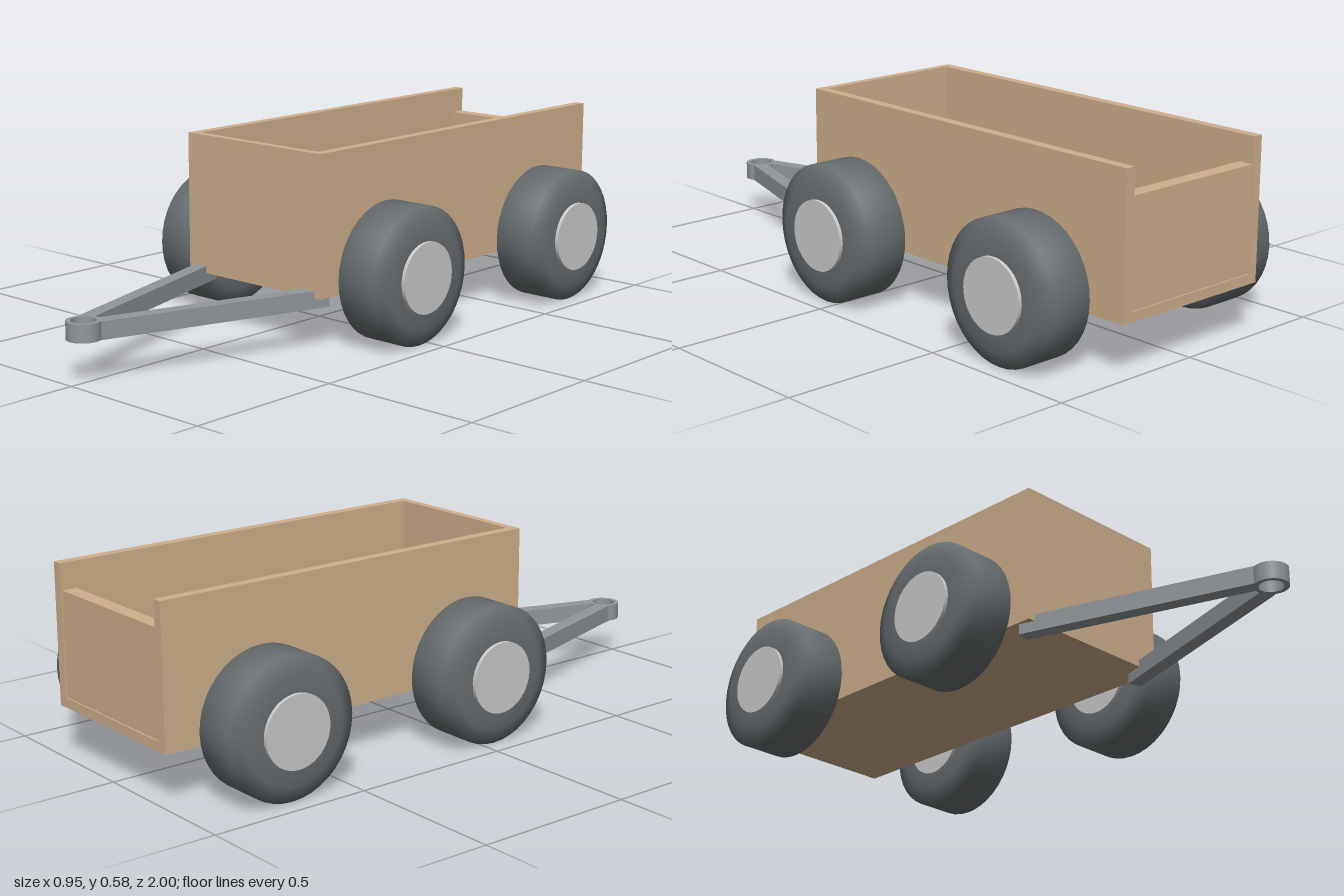
import * as THREE from 'three';

const mat = (color) => new THREE.MeshStandardMaterial({ color });

export function createModel() {
  const root = new THREE.Group();
  root.name = 'trailer';
  const wood = mat(0xcfb08c), rubber = mat(0x686d70), steel = mat(0x92979a), hubGrey = mat(0xcccccc);

  const add = (name, geometry, material, parent = root) => {
    const m = new THREE.Mesh(geometry, material);
    m.name = name;
    parent.add(m);
    return m;
  };
  // box given by its two opposite corners
  const box = (name, [x0, y0, z0], [x1, y1, z1]) => {
    const g = new THREE.BoxGeometry(x1 - x0, y1 - y0, z1 - z0);
    g.translate((x0 + x1) / 2, (y0 + y1) / 2, (z0 + z1) / 2);
    return add(name, g, wood);
  };

  // open cargo box with a lower tailgate between the side walls
  const W = 0.273, I = 0.242, Y0 = 0.157, Y1 = 0.585;
  box('floor', [-I, Y0, -1], [I, Y0 + 0.03, 0.265]);
  box('frontWall', [-I, Y0, 0.265], [I, Y1, 0.29]);
  box('tailgate', [-I, Y0 + 0.03, -0.995], [I, 0.505, -0.95]);
  box('leftWall', [I, Y0, -1], [W, Y1, 0.29]);
  box('rightWall', [-W, Y0, -1], [-I, Y1, 0.29]);

  // wheels: chamfered tyre with a hub through its middle
  const tyreProfile = [[0.1, -0.087], [0.16, -0.087], [0.21, -0.065], [0.21, 0.065], [0.16, 0.087], [0.1, 0.087]]
    .map(([r, h]) => new THREE.Vector2(r, h));
  const tyreGeo = new THREE.LatheGeometry(tyreProfile, 40).rotateZ(-Math.PI / 2);
  const hubGeo = new THREE.CylinderGeometry(0.108, 0.108, 0.196, 40).rotateZ(-Math.PI / 2);
  for (const [end, z] of [['front', 0.043], ['rear', -0.703]]) {
    for (const [side, s] of [['Left', 1], ['Right', -1]]) {
      const wheel = new THREE.Group();
      wheel.name = end + side + 'Wheel';
      wheel.position.set(s * 0.375, 0.21, z);
      add('tyre', tyreGeo, rubber, wheel);
      add('hub', hubGeo, hubGrey, wheel);
      root.add(wheel);
    }
  }

  // V-shaped drawbar meeting at a hitch ring
  const barY = 0.152, barH = 0.053;
  for (const [side, s] of [['left', 1], ['right', -1]]) {
    const a = new THREE.Vector3(s * 0.243, barY, 0.235);
    const b = new THREE.Vector3(s * 0.026, barY, 0.92);
    const arm = add(side + 'DrawbarArm', new THREE.BoxGeometry(0.045, barH, a.distanceTo(b)), steel);
    arm.position.copy(a).lerp(b, 0.5);
    arm.lookAt(b);
  }
  const ringShape = new THREE.Shape().absarc(0, 0, 0.05, 0, Math.PI * 2);
  ringShape.holes.push(new THREE.Path().absarc(0, 0, 0.036, 0, Math.PI * 2, true));
  const ringGeo = new THREE.ExtrudeGeometry(ringShape, { depth: barH, bevelEnabled: false, curveSegments: 24 });
  ringGeo.rotateX(-Math.PI / 2).translate(0, barY - barH / 2, 0.95);
  add('hitchRing', ringGeo, steel);

  return root;
}
